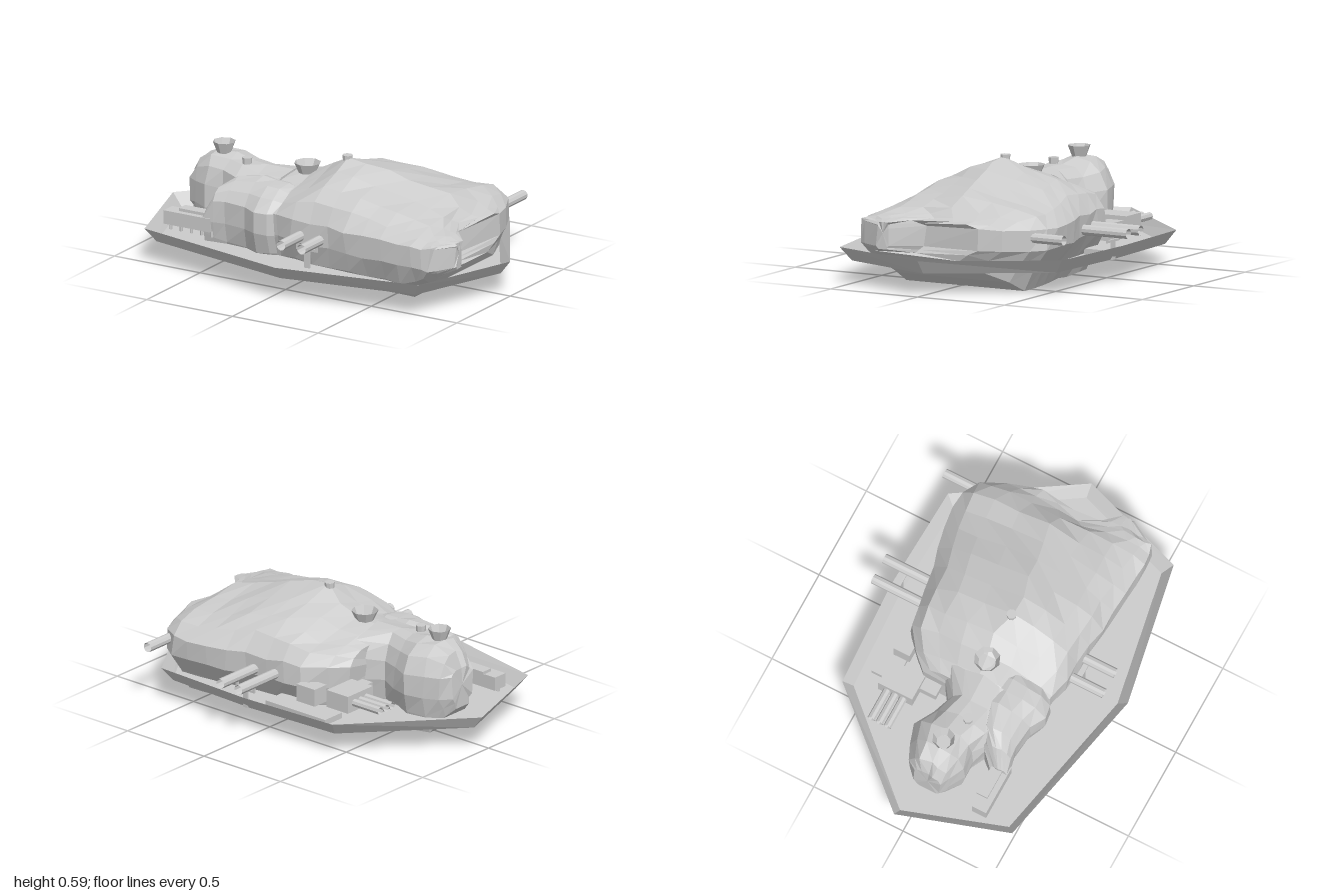
import * as THREE from 'three';

const mat = new THREE.MeshStandardMaterial({ color: 0xcccccc, flatShading: true });
const matOpen = new THREE.MeshStandardMaterial({ color: 0xcccccc, flatShading: true, side: THREE.DoubleSide });
const lerp = THREE.MathUtils.lerp;

function seeded(seed) {
  return () => {
    seed = (seed * 16807) % 2147483647;
    return seed / 2147483647 - 0.5;
  };
}

function geometryOf(points, index) {
  const g = new THREE.BufferGeometry();
  g.setAttribute('position', new THREE.Float32BufferAttribute(points, 3));
  g.setIndex(index);
  const flat = g.toNonIndexed();
  flat.computeVertexNormals();
  return flat;
}

// Faceted rock-like hull lofted along x.
// Sections: [x, zBack, zFront, top, ridgeZ, bottom]; dome: [inward, up] fractions;
// tucks: [bottom inset, share of it reached halfway] for front and back.
function hull(sections, dome, tucks, seed, rough, bend = (x) => x) {
  const rnd = seeded(seed), points = [], index = [];
  let n = 0;
  for (const [x, zB, zF, top, ridge, bot] of sections) {
    const low = Math.max(0.22, bot + 0.01), high = Math.min(0.33, top - 0.03);
    const side = (z, [inset, share]) => {
      const depth = inset * (z - ridge);
      return [[z - depth, bot], [z - depth * share, lerp(bot, low, 0.5)], [z, low], [z, high],
        ...dome.map(([a, b]) => [lerp(z, ridge, a), lerp(high, top, b)])];
    };
    const ring = [...side(zF, tucks[0]), [ridge, top], ...side(zB, tucks[1]).reverse()];
    n = ring.length;
    ring.forEach(([z, y], j) => {
      const k = j === 0 || j === n - 1 ? 0 : rough;
      const pz = z + rnd() * k, py = y + rnd() * k;
      points.push(bend(x + rnd() * k, pz), py, pz);
    });
  }
  const last = sections.length - 1;
  for (let i = 0; i < last; i++) {
    for (let j = 0; j < n; j++) {
      const a = i * n + j, d = i * n + (j + 1) % n, b = a + n, c = d + n;
      index.push(a, b, c, a, c, d);
    }
  }
  // End caps
  for (const i of [0, last]) {
    const c = points.length / 3, mid = [0, 0, 0];
    for (let j = 0; j < n; j++) for (let k = 0; k < 3; k++) mid[k] += points[(i * n + j) * 3 + k] / n;
    points.push(...mid);
    for (let j = 0; j < n; j++) {
      const p = i * n + j, q = i * n + (j + 1) % n;
      index.push(...(i === 0 ? [c, p, q] : [c, q, p]));
    }
  }
  return geometryOf(points, index);
}

export function createModel() {
  const group = new THREE.Group();
  const add = (name, geo, x = 0, y = 0, z = 0, m = mat) => {
    const mesh = new THREE.Mesh(geo, m);
    mesh.name = name;
    mesh.position.set(x, y, z);
    group.add(mesh);
  };
  const box = (name, x0, x1, y0, y1, z0, z1) => add(name,
    new THREE.BoxGeometry(x1 - x0, y1 - y0, z1 - z0), (x0 + x1) / 2, (y0 + y1) / 2, (z0 + z1) / 2);

  // Shallow tray: floor and flared rim
  const outline = [[-1, -0.05], [-0.815, 0.515], [0.06, 0.7], [0.81, 0.56],
    [1, 0], [0.62, -0.605], [0.06, -0.63], [-0.5, -0.605]];
  const rim = [], rimIndex = [], N = outline.length;
  outline.forEach(([x, z], i) => {
    rim.push(x, 0.18, z, x * 0.945, 0.11, z * 0.92);
    const a = i * 2, b = ((i + 1) % N) * 2;
    rimIndex.push(a, a + 1, b + 1, a, b + 1, b);
  });
  add('trayRim', geometryOf(rim, rimIndex), 0, 0, 0, matOpen);
  const floor = new THREE.ShapeGeometry(new THREE.Shape(
    outline.map(([x, z]) => new THREE.Vector2(x * 0.945, -z * 0.92))));
  add('trayFloor', floor.rotateX(-Math.PI / 2), 0, 0.11, 0, matOpen);

  // Main body, with a notch in the +x end beside its pointed corner
  const notch = (x, z) => x -
    0.065 * THREE.MathUtils.smoothstep(x, 0.68, 0.8) * Math.exp(-(((z - 0.06) / 0.12) ** 2));
  add('body', hull([
    [-0.31, -0.25, 0.32, 0.41, 0.00, 0.04],
    [-0.24, -0.33, 0.36, 0.45, 0.02, 0.02],
    [-0.13, -0.42, 0.37, 0.46, 0.02, 0.01],
    [-0.03, -0.43, 0.40, 0.515, -0.01, 0.01],
    [0.08, -0.44, 0.41, 0.57, 0.04, 0.00],
    [0.19, -0.46, 0.42, 0.57, 0.04, 0.01],
    [0.30, -0.49, 0.43, 0.535, 0.02, 0.01],
    [0.41, -0.51, 0.43, 0.505, 0.00, 0.01],
    [0.52, -0.52, 0.44, 0.475, -0.02, 0.01],
    [0.62, -0.52, 0.45, 0.455, -0.03, 0.01],
    [0.70, -0.47, 0.45, 0.415, -0.02, 0.06],
    [0.76, -0.34, 0.45, 0.38, 0.10, 0.11],
    [0.80, -0.23, 0.44, 0.36, 0.20, 0.16],
    [0.82, 0.10, 0.41, 0.35, 0.26, 0.18],
    [0.875, 0.24, 0.31, 0.34, 0.275, 0.20],
  ], [[0.14, 0.4], [0.36, 0.64], [0.66, 0.83]], [[0.34, 0.25], [0.26, 0.6]], 7, 0.016, notch));

  // Head lobe at the -x end
  add('head', hull([
    [-0.80, -0.04, 0.10, 0.37, 0.03, 0.16],
    [-0.76, -0.09, 0.13, 0.45, 0.03, 0.12],
    [-0.68, -0.13, 0.17, 0.49, 0.03, 0.02],
    [-0.58, -0.16, 0.17, 0.485, 0.03, 0.015],
    [-0.48, -0.11, 0.23, 0.465, 0.04, 0.015],
    [-0.38, -0.07, 0.25, 0.455, 0.05, 0.01],
    [-0.24, -0.18, 0.28, 0.46, 0.04, 0.01],
  ], [[0.2, 0.6], [0.55, 0.92]], [[0.25, 0.4], [0.35, 0.5]], 31, 0.016));

  // Jaw on the front side of the head, with its low flat prong and pegs
  add('jaw', hull([
    [-0.575, 0.26, 0.355, 0.27, 0.31, 0.10],
    [-0.52, 0.20, 0.35, 0.39, 0.27, 0.04],
    [-0.45, 0.14, 0.345, 0.435, 0.21, 0.015],
    [-0.33, 0.10, 0.355, 0.45, 0.18, 0.01],
    [-0.25, 0.10, 0.40, 0.44, 0.18, 0.01],
    [-0.18, 0.10, 0.395, 0.44, 0.18, 0.01],
    [-0.13, 0.10, 0.36, 0.42, 0.18, 0.01],
  ], [[0.25, 0.55], [0.6, 0.9]], [[0.48, 0.3], [0.2, 0.4]], 53, 0.01));
  box('jawProng', -0.80, -0.53, 0.165, 0.235, 0.28, 0.36);
  box('jawProngRidge', -0.73, -0.53, 0.235, 0.25, 0.27, 0.33);
  for (let i = 0; i < 5; i++) {
    add('jawPeg', new THREE.CylinderGeometry(0.008, 0.008, 0.03, 6), -0.77 + i * 0.06, 0.152, 0.34);
  }

  // Flared funnels and small vents on top
  const funnel = (x, y, z, h, r) => {
    add('funnel', new THREE.CylinderGeometry(r, r * 0.6, h, 8, 1, true), x, y + h / 2, z, matOpen);
    add('funnelBase', new THREE.CircleGeometry(r * 0.62, 8).rotateX(-Math.PI / 2), x, y + 0.01, z);
  };
  funnel(-0.645, 0.475, 0.04, 0.06, 0.058);
  funnel(-0.165, 0.445, 0.03, 0.06, 0.068);
  for (const [x, y, z] of [[-0.48, 0.465, 0.09], [0.075, 0.56, 0.04]]) {
    add('vent', new THREE.CylinderGeometry(0.026, 0.022, 0.055, 8), x, y, z);
  }

  // Hollow barrels; those along z pass right through the body
  const barrel = (name, x, y, z0, z1, r) => add(name,
    new THREE.CylinderGeometry(r, r, z1 - z0, 10, 1, true).rotateX(Math.PI / 2), x, y, (z0 + z1) / 2, matOpen);
  for (const x of [0.025, 0.145]) barrel('twinBarrel', x, 0.257, -0.71, 0.585, 0.026);
  barrel('rearBarrel', 0.672, 0.29, -0.65, -0.35, 0.025);

  // Barrel supports
  for (const z of [0.435, -0.585]) {
    box('barrelCrossbar', 0.03, 0.14, 0.2, 0.212, z - 0.005, z + 0.005);
    box('barrelPost', 0.07, 0.1, 0.11, 0.21, z - 0.005, z + 0.005);
    for (const x of [0.03, 0.14]) box('barrelBracket', x - 0.006, x + 0.006, 0.2, 0.24, z - 0.005, z + 0.005);
  }

  // Side turret with three barrels along -x
  box('turret', -0.45, -0.31, 0.17, 0.26, -0.43, -0.24);
  box('turretBase', -0.37, 0.02, 0.11, 0.14, -0.51, -0.38);
  box('turretLink', -0.37, -0.25, 0.18, 0.23, -0.3, -0.15);
  box('rearHousing', -0.25, -0.13, 0.16, 0.25, -0.45, -0.36);
  for (const z of [-0.38, -0.335, -0.29]) {
    add('turretBarrel', new THREE.CylinderGeometry(0.02, 0.02, 0.18, 8, 1, true).rotateZ(Math.PI / 2),
      -0.53, 0.215, z, matOpen);
  }
  return group;
}
